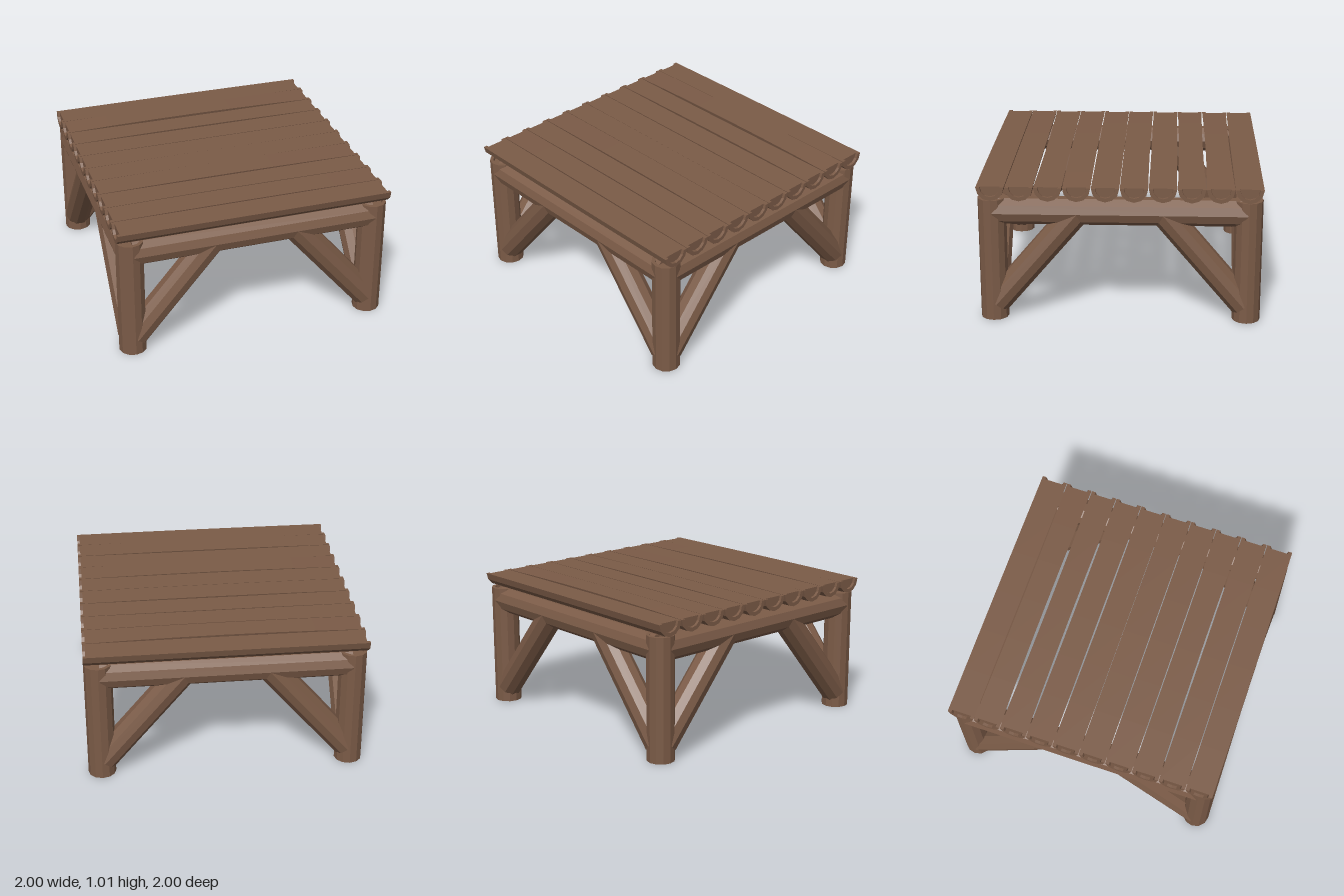
import * as THREE from 'three';

const wood = new THREE.MeshStandardMaterial({ color: 0x7b5b47, flatShading: true, side: THREE.DoubleSide });
wood.name = 'brown wood';

function add(parent, name, geometry) {
  const mesh = new THREE.Mesh(geometry, wood);
  mesh.name = name;
  parent.add(mesh);
  return mesh;
}

// Round log between two points in the xy plane, with a ridge facing +z
function log(x0, y0, x1, y1, z, radius) {
  const g = new THREE.CylinderGeometry(radius, radius, Math.hypot(x1 - x0, y1 - y0), 10);
  g.rotateZ(Math.atan2(y1 - y0, x1 - x0) - Math.PI / 2);
  return g.translate((x0 + x1) / 2, (y0 + y1) / 2, z);
}

// Half log, flat side up, hollowed a little at both ends and slightly bowed at mid length
function halfLog(z, shift, narrow, rise) {
  const N = 6, R = 0.098, r = 0.07, inset = 0.98, top = 1.0;
  const pos = [];
  const tri = (...p) => p.forEach(v => pos.push(...v));
  const quad = (a, b, c, d) => tri(a, b, c, a, c, d);
  const arc = (x, radius) => {
    const bow = 1 - Math.min(1, x * x);
    return Array.from({ length: N + 1 }, (_, i) => {
      const t = (i / N) * Math.PI;
      return [x, top - radius * 1.01 * Math.sin(t) + rise * bow,
        z + shift * bow + (radius - narrow * bow) * Math.cos(t)];
    });
  };
  const strip = (a, b) => {
    for (let i = 0; i < N; i++) quad(a[i], a[i + 1], b[i + 1], b[i]);
  };

  // round underside and flat top
  const xs = [-1, -inset, -0.65, -0.33, 0, 0.33, 0.65, inset, 1];
  const rings = xs.map(x => arc(x, R));
  for (let k = 0; k < xs.length - 1; k++) {
    const a = rings[k], b = rings[k + 1];
    strip(a, b);
    if (k > 0 && k < xs.length - 2) quad(a[N], a[0], b[0], b[N]);
  }

  // end rims and shallow hollows
  for (const s of [-1, 1]) {
    const outer = rings[s < 0 ? 0 : xs.length - 1];
    const shoulder = rings[s < 0 ? 1 : xs.length - 2];
    const rim = arc(s, r), floor = arc(s * inset, r);
    const flip = (a, b) => (s > 0 ? strip(a, b) : strip(b, a));
    flip(outer, rim);
    flip(rim, floor);
    const centre = [s * inset, floor[0][1], (floor[0][2] + floor[N][2]) / 2];
    for (let i = 0; i < N; i++) {
      if (s > 0) tri(centre, floor[i], floor[i + 1]);
      else tri(centre, floor[i + 1], floor[i]);
    }
    for (const e of [0, N]) {
      const q = [outer[e], shoulder[e], floor[e], rim[e]];
      if ((e === 0) !== (s > 0)) q.reverse();
      quad(...q);
    }
  }
  const g = new THREE.BufferGeometry();
  g.setAttribute('position', new THREE.Float32BufferAttribute(pos, 3));
  g.computeVertexNormals();
  return g;
}

export function createModel() {
  const model = new THREE.Group();
  model.name = 'log platform';

  // Corner posts with hollowed ends
  const postProfile = [
    [0, 0.02], [0.07, 0.02], [0.075, 0], [0.1, 0], [0.1, 0.9], [0.075, 0.9], [0.07, 0.88], [0, 0.88],
  ].map(([x, y]) => new THREE.Vector2(x, y));
  for (const x of [-0.9, 0.9]) {
    for (const z of [-0.9, 0.9]) {
      add(model, 'cornerPost', new THREE.LatheGeometry(postProfile, 12)).position.set(x, 0, z);
    }
  }

  // Each side: a top beam and two diagonal braces
  for (let k = 0; k < 4; k++) {
    const side = new THREE.Group();
    side.name = 'sideFrame';
    side.rotation.y = (k * Math.PI) / 2;
    add(side, 'beam', log(-0.89, 0.805, 0.89, 0.805, 0.9, 0.1));
    for (const s of [-1, 1]) {
      add(side, 'brace', log(s * 0.88, 0.114, s * 0.3, 0.805, 0.9, 0.0995));
    }
    model.add(side);
  }

  // Deck of half logs, each bowed by a small amount
  const shift = [0, 0, 0, 0.001, 0.004, 0, 0.002, -0.002, 0, 0.002];
  const narrow = [-0.001, 0.008, 0.008, 0.003, 0.002, 0, 0.001, 0.006, 0.001, -0.001];
  const rise = [0.002, 0.01, 0.003, 0, 0.003, 0.004, 0.008, 0.002, 0.005, 0.001];
  const deck = new THREE.Group();
  deck.name = 'deck';
  for (let i = 0; i < 10; i++) {
    add(deck, 'deckHalfLog', halfLog(-0.9 + i * 0.2, shift[i], narrow[i], rise[i]));
  }
  model.add(deck);
  return model;
}
